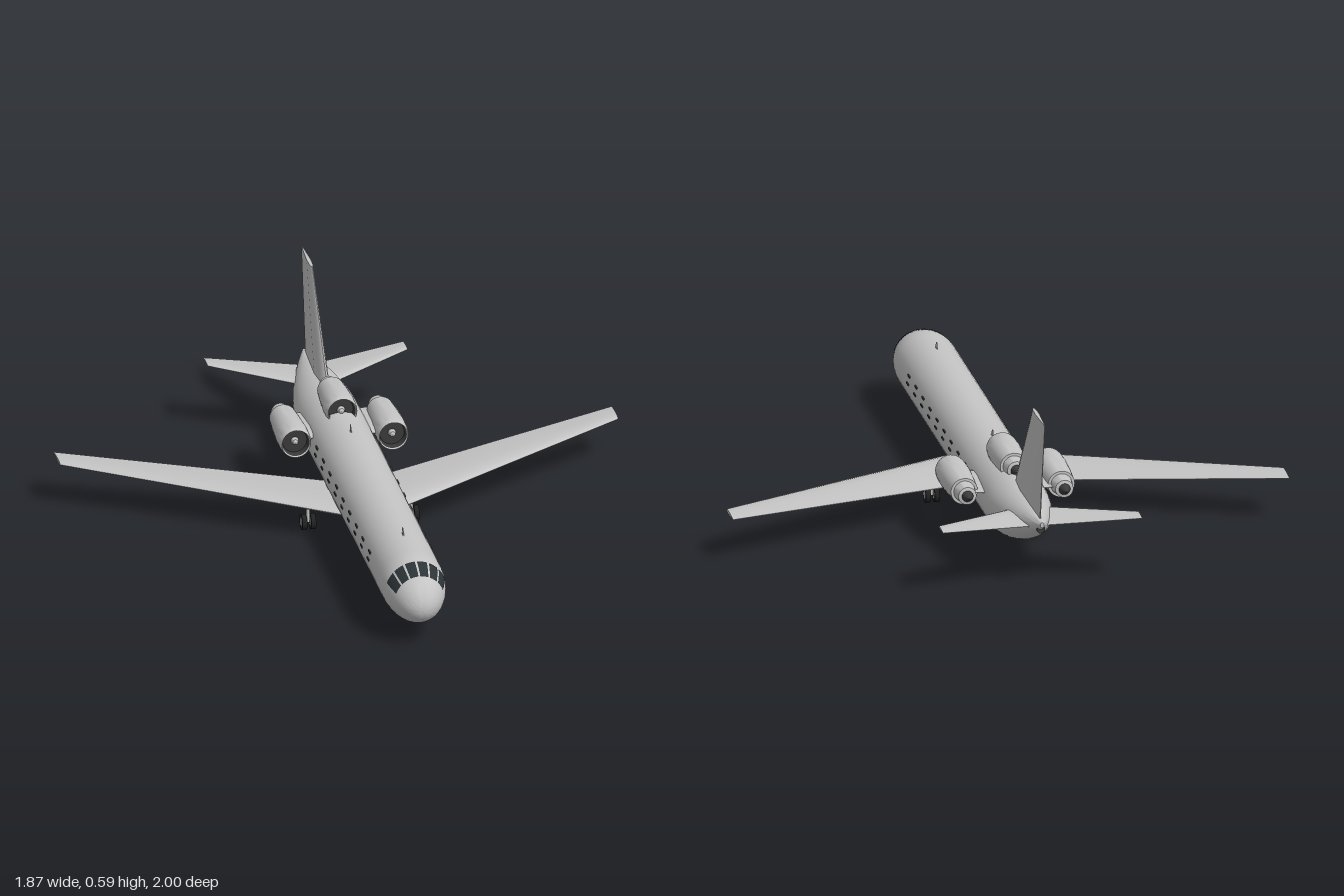
import * as THREE from 'three';
import { toCreasedNormals } from 'three/addons/utils/BufferGeometryUtils.js';

const mat = (name, color, side = THREE.FrontSide) => {
  const m = new THREE.MeshStandardMaterial({ color, side });
  m.name = name;
  return m;
};

// Closed loft through rings of points, capped at both ends, always facing outwards
function loft(rings, crease = 0.7) {
  const n = rings[0].length, pos = rings.flat(2), idx = [];
  for (let r = 0; r < rings.length - 1; r++) {
    for (let i = 0; i < n; i++) {
      const a = r * n + i, b = r * n + (i + 1) % n;
      idx.push(a, b, b + n, a, b + n, a + n);
    }
  }
  const last = (rings.length - 1) * n;
  for (let i = 1; i < n - 1; i++) idx.push(0, i + 1, i, last, last + i, last + i + 1);
  const p = (i) => new THREE.Vector3().fromArray(pos, i * 3);
  let volume = 0;
  for (let i = 0; i < idx.length; i += 3) volume += p(idx[i]).dot(p(idx[i + 1]).cross(p(idx[i + 2])));
  if (volume < 0) idx.reverse();
  const g = new THREE.BufferGeometry();
  g.setAttribute('position', new THREE.Float32BufferAttribute(pos, 3));
  g.setIndex(idx);
  return toCreasedNormals(g, crease);
}

// Point on the fuselage skin at station z, angle a measured from the top
function skin(z, a, offset = 0) {
  let top = 0.271, bottom = 0.055, half = 0.107;
  if (z > 0.8) {
    const u = (z - 0.8) / 0.2, f = Math.sqrt(Math.max(0, 1 - u ** 2.3));
    const mid = 0.163 - 0.021 * u * u;
    top = mid + 0.108 * f;
    bottom = mid - 0.108 * f;
    half = 0.107 * f;
  } else if (z < -0.55) {
    const v = (-0.55 - z) / 0.41;
    top = 0.271 - 0.033 * v ** 1.5;
    bottom = 0.055 + 0.165 * v ** 1.6;
    half = 0.107 * (1 - 0.94 * v ** 1.8);
  }
  const ry = (top - bottom) / 2 + offset;
  return [(half + offset) * Math.sin(a), (top + bottom) / 2 + ry * Math.cos(a), z];
}

// Aerofoil ring: le/te are z of the edges, th the thickness
const FOIL = [[0, 0], [0.03, 0.22], [0.12, 0.42], [0.35, 0.5], [0.7, 0.28], [1, 0.04]];
function foil(x, y, le, te, th, upright = false) {
  const outline = [...FOIL, ...FOIL.slice(1).reverse().map(([t, h]) => [t, -h])];
  return outline.map(([t, h]) => {
    const z = le + (te - le) * t;
    return upright ? [x + h * th, y, z] : [x, y + h * th, z];
  });
}

export function createModel() {
  const model = new THREE.Group();
  model.name = 'airliner';
  const body = mat('body grey', 0xc4c4c4);
  const glass = mat('window glass', 0x2c3438, THREE.DoubleSide);
  const dark = mat('dark metal', 0x3a3a3a, THREE.DoubleSide);
  const tyre = mat('tyre rubber', 0x222222);

  const add = (name, geo, material, x = 0, y = 0, z = 0, parent = model) => {
    const m = new THREE.Mesh(geo, material);
    m.name = name;
    m.position.set(x, y, z);
    parent.add(m);
    return m;
  };

  // Fuselage: rounded nose, straight tube, upswept tail
  const stations = [];
  for (let i = 0; i <= 14; i++) stations.push(0.8 + 0.2 * Math.cos(0.02 + (i / 14) * (Math.PI / 2 - 0.02)));
  for (let i = 0; i <= 14; i++) stations.push(-0.55 - (0.41 * i) / 14);
  const circle = Array.from({ length: 40 }, (_, i) => (i / 40) * Math.PI * 2);
  add('fuselage', loft(stations.map((z) => circle.map((a) => skin(z, a)))), body);

  // Tail exhaust
  const exhaust = add('tailExhaust', new THREE.CylinderGeometry(0.012, 0.014, 0.03, 16), dark, 0, 0.207, -0.925);
  exhaust.rotation.x = Math.PI / 2;

  // Cockpit panes laid on the skin
  for (const s of [-1, 1]) {
    for (const [a0, a1] of [[2, 21], [25, 44], [48, 70]]) {
      const g = new THREE.PlaneGeometry(1, 1, 6, 6), p = g.attributes.position;
      for (let i = 0; i < p.count; i++) {
        const a = THREE.MathUtils.degToRad(a0 + (a1 - a0) * (p.getX(i) + 0.5));
        p.setXYZ(i, ...skin(0.907 + 0.062 * p.getY(i), s * a, 0.002));
      }
      g.computeVertexNormals();
      add('cockpitPane', g, glass);
    }
    // Cabin windows: a dark upper and lower edge each
    for (let i = 0; i < 9; i++) {
      const z = 0.62 - i * 0.108;
      for (const [x, y] of [[0.102, 0.197], [0.1065, 0.172]]) {
        add('cabinWindow', new THREE.BoxGeometry(0.006, 0.006, 0.027), glass, s * x, y, z);
      }
    }
  }

  // Wings and tailplanes
  for (const s of [-1, 1]) {
    add('wing', loft([
      foil(s * 0.05, 0.102, 0.118, -0.172, 0.034),
      foil(s * 0.5, 0.128, -0.135, -0.331, 0.022),
      foil(s * 0.935, 0.152, -0.38, -0.485, 0.012),
    ]), body);
    add('tailplane', loft([
      foil(s * 0.02, 0.206, -0.715, -0.9, 0.022),
      foil(s * 0.335, 0.23, -0.9, -0.968, 0.008),
    ]), body);
  }

  // Upright fin
  add('fin', loft([
    foil(0, 0.22, -0.543, -0.926, 0.04, true),
    foil(0, 0.59, -0.82, -1, 0.014, true),
  ]), body);

  // Engines, built facing +z with the intake lip at the origin
  const lathe = (pts) => {
    const g = new THREE.LatheGeometry(pts.map(([r, z]) => new THREE.Vector2(r, z)), 32);
    return toCreasedNormals(g.rotateX(Math.PI / 2), 0.7);
  };
  const cowl = lathe([[0.018, -0.275], [0.03, -0.272], [0.036, -0.225], [0.045, -0.225], [0.05, -0.16],
    [0.054, -0.08], [0.053, -0.03], [0.051, -0.008], [0.048, 0], [0.045, -0.006]]);
  const duct = lathe([[0.045, -0.006], [0.041, -0.03], [0, -0.03]]);
  const spinner = lathe([[0.013, -0.03], [0.009, -0.016], [0, -0.01]]);
  const plug = lathe([[0, -0.305], [0.009, -0.29], [0.021, -0.272]]);
  const engine = (name, x, y, z, length) => {
    const e = new THREE.Group();
    e.name = name;
    e.position.set(x, y, z);
    e.scale.z = length;
    add('cowling', cowl, body, 0, 0, 0, e);
    add('intakeDuct', duct, dark, 0, 0, 0, e);
    add('spinner', spinner, body, 0, 0, 0, e);
    add('exhaustPlug', plug, dark, 0, 0, 0, e);
    model.add(e);
  };
  engine('leftEngine', 0.163, 0.2, -0.283, 1);
  engine('rightEngine', -0.163, 0.2, -0.283, 1);
  engine('centreEngine', 0, 0.28, -0.325, 0.87);
  for (const s of [-1, 1]) {
    add('enginePylon', loft([foil(s * 0.08, 0.2, -0.32, -0.535, 0.024), foil(s * 0.13, 0.2, -0.32, -0.53, 0.024)]), body);
  }

  // Landing gear: twin wheels on a strut
  const gear = (name, x, z, r, gap, top) => {
    const g = new THREE.Group();
    g.name = name;
    g.position.set(x, r, z);
    add('strut', new THREE.CylinderGeometry(0.006, 0.006, top - r, 12), body, 0, (top - r) / 2, 0, g);
    add('axle', new THREE.CylinderGeometry(0.005, 0.005, gap * 2, 12).rotateZ(Math.PI / 2), dark, 0, 0, 0, g);
    for (const s of [-1, 1]) {
      add('tyre', new THREE.CylinderGeometry(r, r, 0.016, 24).rotateZ(Math.PI / 2), tyre, s * gap, 0, 0, g);
      add('hub', new THREE.CylinderGeometry(r * 0.6, r * 0.6, 0.018, 20).rotateZ(Math.PI / 2), body, s * gap, 0, 0, g);
    }
    model.add(g);
  };
  gear('noseGear', 0, 0.73, 0.023, 0.012, 0.08);
  gear('leftMainGear', 0.173, -0.045, 0.026, 0.015, 0.108);
  gear('rightMainGear', -0.173, -0.045, 0.026, 0.015, 0.108);

  // Small swept blade aerials
  for (const [z, y, d] of [[0.68, 0.268, 1], [-0.18, 0.268, 1], [0.2, 0.058, -1]]) {
    add('aerial', loft([
      foil(0, y, z, z - 0.025, 0.006, true),
      foil(0, y + d * 0.024, z - 0.012, z - 0.025, 0.004, true),
    ]), body);
  }
  return model;
}
